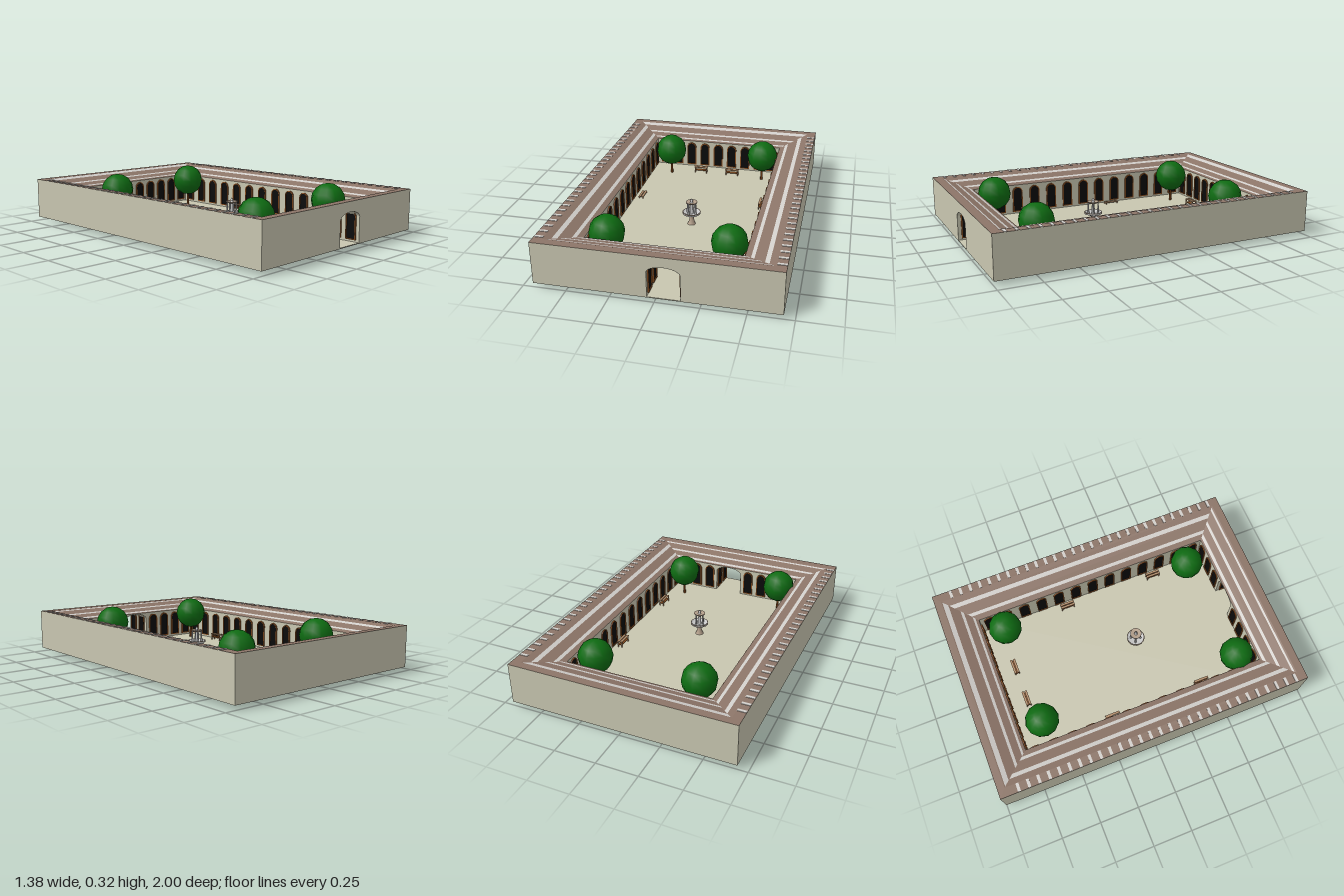
import * as THREE from 'three';

const mat = (name, color, side = THREE.FrontSide) => {
  const m = new THREE.MeshStandardMaterial({ color, side });
  m.name = name;
  return m;
};

export function createModel() {
  const root = new THREE.Group();
  root.name = 'courtyardBuilding';
  const stone = mat('paleStone', 0xc8c6b0, THREE.DoubleSide);
  const roofBrown = mat('roofBrown', 0x8c7568);
  const roofPale = mat('roofPale', 0xd2cfcb);
  const leaf = mat('leafGreen', 0x0e6b12);
  const bark = mat('bark', 0x6b3a14);
  const glass = mat('windowBlack', 0x0a0a0a, THREE.DoubleSide);
  const frameMat = mat('frameBrown', 0x8f5222);
  const wood = mat('benchWood', 0xb08c6a);
  const clay = mat('fountainStone', 0xb39f8b);
  const pale = mat('fountainGrey', 0xc9c9c9, THREE.DoubleSide);

  const add = (parent, name, geo, material, x = 0, y = 0, z = 0) => {
    const m = new THREE.Mesh(geo, material);
    m.name = name;
    m.position.set(x, y, z);
    parent.add(m);
    return m;
  };
  // Flat-shaded surface from a list of four-cornered faces
  const quads = (list) => {
    const p = [];
    for (const [a, b, c, d] of list) p.push(...a, ...b, ...c, ...a, ...c, ...d);
    const g = new THREE.BufferGeometry();
    g.setAttribute('position', new THREE.Float32BufferAttribute(p, 3));
    g.computeVertexNormals();
    return g;
  };
  // Rectangle corners: front left, front right, back right, back left
  const rect = (x0, x1, z0, z1, y) => [[x0, y, z1], [x1, y, z1], [x1, y, z0], [x0, y, z0]];
  const side = (a, b, i) => [a[i], a[(i + 1) % 4], b[(i + 1) % 4], b[i]];
  const mix = (a, b, t) => a.map((p, i) => p.map((v, k) => v + (b[i][k] - v) * t));

  const FLOOR = 0.03, TOP = 0.28, EAVE = 0.225;
  const outer = (y) => rect(-0.69, 0.69, -1, 1, y);
  const inner = (y) => rect(-0.457, 0.45, -0.77, 0.79, y);
  const rim = rect(-0.635, 0.635, -0.955, 0.95, TOP);

  // Ground slab and the walls without a gate
  add(root, 'floor', new THREE.BoxGeometry(1.38, 0.005, 2), stone, 0, 0.0275, 0);
  add(root, 'outerWalls', quads([1, 2, 3].map((i) => side(outer(FLOOR), outer(TOP), i))), stone);
  add(root, 'innerWalls', quads([1, 2, 3].map((i) => side(inner(EAVE), inner(FLOOR), i))), stone);

  // Front walls with the arched gate, and the passage between them
  const gateX = 0.0525, gateW = 0.0925, spring = 0.18;
  const gateWall = (x0, x1, top) => {
    const s = new THREE.Shape();
    s.moveTo(x0, FLOOR);
    s.lineTo(gateX - gateW, FLOOR);
    s.lineTo(gateX - gateW, spring);
    s.absellipse(gateX, spring, gateW, 0.04, Math.PI, 0, true);
    s.lineTo(gateX + gateW, FLOOR);
    s.lineTo(x1, FLOOR);
    s.lineTo(x1, top);
    s.lineTo(x0, top);
    return new THREE.ShapeGeometry(s, 16);
  };
  add(root, 'frontWall', gateWall(-0.69, 0.69, TOP), stone, 0, 0, 1);
  add(root, 'frontInnerWall', gateWall(-0.457, 0.45, EAVE), stone, 0, 0, 0.79);
  const arch = [[gateX - gateW, FLOOR]];
  for (let i = 0; i <= 16; i++) {
    const a = Math.PI * (1 - i / 16);
    arch.push([gateX + gateW * Math.cos(a), spring + 0.04 * Math.sin(a)]);
  }
  arch.push([gateX + gateW, FLOOR]);
  add(root, 'gatePassage', quads(arch.slice(1).map((q, i) => {
    const p = arch[i];
    return [[...p, 0.79], [...p, 1], [...q, 1], [...q, 0.79]];
  })), stone);

  // Roof: level rim, then slopes to the courtyard with pale courses
  add(root, 'roofRim', quads([0, 1, 2, 3].map((i) => side(outer(TOP), rim, i))), roofBrown);
  const sideStops = [0, 0.22, 0.36, 0.7, 0.81, 1];
  const stops = [
    [0, 0.06, 0.13, 0.44, 0.54, 0.81, 0.92, 1], sideStops,
    [0, 0.03, 0.19, 0.51, 0.6, 0.83, 0.9, 1], sideStops,
  ];
  const courses = [[], []];
  stops.forEach((list, i) => list.slice(1).forEach((t, k) => {
    const a = mix(rim, inner(EAVE), list[k]), b = mix(rim, inner(EAVE), t);
    courses[k % 2].push(side(a, b, i));
  }));
  add(root, 'roofSlopes', quads(courses[0]), roofBrown);
  add(root, 'roofPaleCourses', quads(courses[1]), roofPale);
  const tick = new THREE.BoxGeometry(0.052, 0.003, 0.018);
  for (const x of [-0.662, 0.662])
    for (let i = 0; i < 29; i++) add(root, 'rimTile', tick, roofPale, x, TOP + 0.001, -0.88 + i * 0.0645);

  // Arched windows
  const archShape = (w, y0, y1, Type) => {
    const s = new Type();
    s.moveTo(-w, y0);
    s.lineTo(w, y0);
    s.lineTo(w, y1 - w);
    s.absarc(0, y1 - w, w, 0, Math.PI, false);
    s.lineTo(-w, y0);
    return s;
  };
  const frameShape = archShape(0.034, 0.042, 0.212, THREE.Shape);
  frameShape.holes.push(archShape(0.028, 0.048, 0.206, THREE.Path));
  const frameGeo = new THREE.ExtrudeGeometry(frameShape, { depth: 0.008, bevelEnabled: false, curveSegments: 8 });
  const glassGeo = new THREE.ShapeGeometry(archShape(0.029, 0.047, 0.207, THREE.Shape), 8);
  const windowAt = (x, z, turn) => {
    const g = new THREE.Group();
    g.name = 'window';
    add(g, 'windowFrame', frameGeo, frameMat);
    add(g, 'windowGlass', glassGeo, glass, 0, 0, 0.003);
    g.position.set(x, 0, z);
    g.rotation.y = turn;
    root.add(g);
  };
  const H = Math.PI / 2;
  for (let i = 0; i < 13; i++) {
    windowAt(-0.457, -0.71 + i * 0.12, H);
    windowAt(0.45, -0.71 + i * 0.12, -H);
  }
  for (let i = -4; i <= 4; i++) {
    windowAt(i * 0.1, -0.77, 0);
    if (i < 0 || i > 1) windowAt(i * 0.1, 0.79, Math.PI);
  }
  for (const z of [0.845, 0.945]) {
    windowAt(gateX - gateW, z, H);
    windowAt(gateX + gateW, z, -H);
  }

  // Trees
  const crown = new THREE.SphereGeometry(0.106, 12, 8);
  const trunk = new THREE.CylinderGeometry(0.007, 0.009, 0.1, 8);
  for (const [x, z] of [[-0.365, 0.675], [0.34, 0.64], [-0.315, -0.615], [0.345, -0.63]]) {
    add(root, 'treeCrown', crown, leaf, x, 0.21, z);
    add(root, 'treeTrunk', trunk, bark, x, 0.08, z);
  }

  // Benches: slatted seat, legs and a low stretcher
  const slat = new THREE.BoxGeometry(0.096, 0.005, 0.015);
  const leg = new THREE.BoxGeometry(0.006, 0.04, 0.006);
  const bar = new THREE.BoxGeometry(0.09, 0.004, 0.026);
  const bench = (x, y, z, turn) => {
    const g = new THREE.Group();
    g.name = 'bench';
    for (const s of [-1, 1]) {
      add(g, 'seatSlat', slat, wood, 0, 0.0415, s * 0.0095);
      for (const e of [-1, 1]) add(g, 'benchLeg', leg, wood, e * 0.042, 0.02, s * 0.013);
    }
    add(g, 'benchStretcher', bar, frameMat, 0, 0.019, 0);
    g.position.set(x, y, z);
    g.rotation.y = turn;
    root.add(g);
  };
  bench(-0.105, FLOOR, -0.66, 0);
  bench(0.125, FLOOR, -0.66, 0);
  bench(0.407, FLOOR, -0.19, H);
  bench(0.407, FLOOR, 0.43, H);
  bench(-0.415, FLOOR, 0.43, H);
  bench(-0.412, 0, -0.185, H); // sunk through the floor

  // Fountain: flared pedestal, wide basin, small upper bowl on four posts
  const fountain = new THREE.Group();
  fountain.name = 'fountain';
  fountain.position.set(0.007, FLOOR, 0.14);
  root.add(fountain);
  const lathe = (pts) => new THREE.LatheGeometry(pts.map(([r, y]) => new THREE.Vector2(r, y)), 20);
  add(fountain, 'pedestal', lathe([[0.026, 0], [0.02, 0.012], [0.014, 0.035], [0.013, 0.055], [0.022, 0.068]]), clay);
  add(fountain, 'basin', lathe([[0, 0.064], [0.035, 0.065], [0.057, 0.074], [0.057, 0.084], [0.05, 0.084], [0.046, 0.074], [0, 0.072]]), pale);
  add(fountain, 'basinRim', new THREE.TorusGeometry(0.055, 0.003, 6, 24).rotateX(H), clay, 0, 0.083, 0);
  add(fountain, 'centreColumn', new THREE.CylinderGeometry(0.008, 0.012, 0.075, 12), pale, 0, 0.108, 0);
  const post = new THREE.CylinderGeometry(0.004, 0.007, 0.072, 8);
  for (let i = 0; i < 4; i++) {
    const a = i * H + 0.4;
    add(fountain, 'fountainPost', post, pale, 0.031 * Math.cos(a), 0.108, 0.031 * Math.sin(a));
  }
  add(fountain, 'upperBowl', lathe([[0, 0.14], [0.026, 0.142], [0.036, 0.148], [0.036, 0.154], [0.03, 0.15], [0, 0.148]]), clay);
  add(fountain, 'finial', lathe([[0.011, 0.148], [0.006, 0.156], [0.009, 0.164], [0, 0.176]]), pale);
  return root;
}
